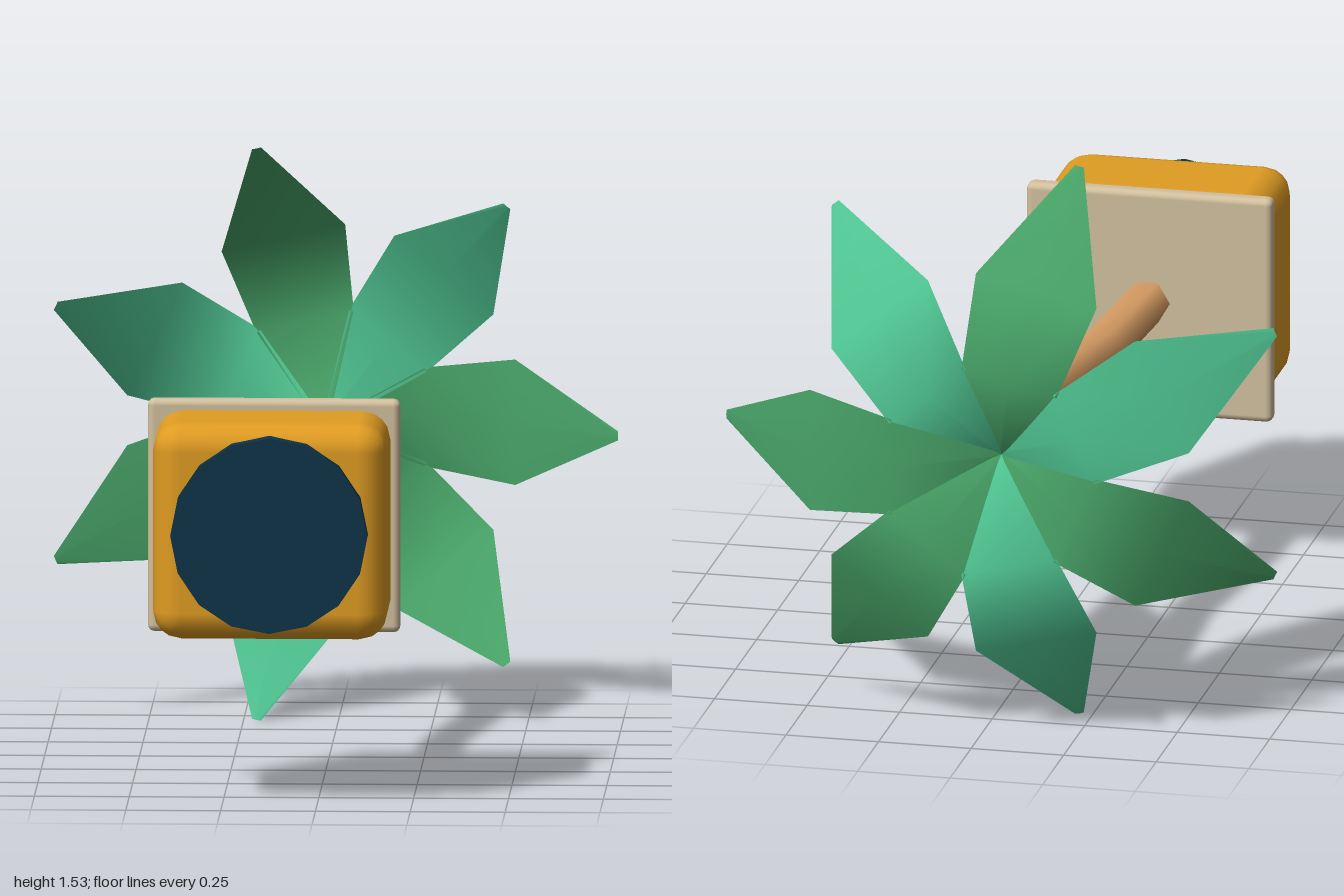
import * as THREE from 'three';
import { mergeGeometries } from 'three/addons/utils/BufferGeometryUtils.js';
import { RoundedBoxGeometry } from 'three/addons/geometries/RoundedBoxGeometry.js';

const mat = (name, color) => {
  const m = new THREE.MeshStandardMaterial({ color });
  m.name = name;
  return m;
};

// Smooth surface through a list of equal-length point rows
function loft(rows, closed) {
  const n = rows[0].length, index = [];
  for (let i = 0; i < rows.length - 1; i++) {
    for (let j = 0; j < (closed ? n : n - 1); j++) {
      const k = (j + 1) % n, a = i * n + j, b = i * n + k, c = a + n, d = b + n;
      index.push(a, c, b, b, c, d);
    }
  }
  const g = new THREE.BufferGeometry();
  g.setAttribute('position', new THREE.Float32BufferAttribute(rows.flat(2), 3));
  g.setIndex(index);
  g.computeVertexNormals();
  return g;
}

// Frond arching out of the crown along +x: [reach, z, half width, half thickness]
function frondGeometry() {
  const sections = [
    [0, -0.82, 0.008, 0.004],
    [0.26, -0.99, 0.132, 0.01],
    [0.5, -0.9, 0.167, 0.008],
    [0.78, -0.66, 0.012, 0.004],
  ];
  const sheet = (s) => loft(sections.map(([r, z, w, h]) =>
    [[r, -s * w, z], [r, 0, z + s * h], [r, s * w, z]]), false);
  return mergeGeometries([sheet(1), sheet(-1)]);
}

export function createModel() {
  const group = new THREE.Group();
  group.name = 'pottedPalm';
  const pot = mat('ochre', 0xe09c22);
  const rim = mat('sand', 0xd2c09e);
  const base = mat('darkBlue', 0x0e3447);
  const bark = mat('bark', 0xdca066);
  const greens = [mat('leafGreen', 0x48a468), mat('mintGreen', 0x50c693)];

  const add = (name, geometry, material, x = 0, y = 0, z = 0) => {
    const mesh = new THREE.Mesh(geometry, material);
    mesh.name = name;
    mesh.position.set(x, y, z);
    group.add(mesh);
    return mesh;
  };

  // Pot lying on its side, base towards the front
  add('pot', new RoundedBoxGeometry(0.618, 0.578, 0.355, 2, 0.075), pot, -0.123, 0.728, 0.785);
  add('potRim', new RoundedBoxGeometry(0.665, 0.62, 0.05, 2, 0.018), rim, -0.123, 0.727, 0.595);
  add('potBase', new THREE.CylinderGeometry(0.26, 0.26, 0.12, 16).rotateX(Math.PI / 2),
    base, -0.123, 0.728, 0.94);

  // Six-sided bent trunk
  const path = [[-0.12, 0.73, 0.6], [-0.09, 0.73, 0.16], [-0.015, 0.75, -0.33], [-0.035, 0.76, -0.81]];
  const rings = path.map(([x, y, z]) => Array.from({ length: 6 }, (_, i) => {
    const a = (i * Math.PI) / 3;
    return [x + 0.062 * Math.cos(a), y + 0.062 * Math.sin(a), z];
  }));
  add('trunk', loft(rings, true), bark);
  add('trunkTip', new THREE.CircleGeometry(0.062, 6).rotateY(Math.PI), bark, -0.035, 0.76, -0.81);

  // Seven fronds in alternating greens
  const frond = frondGeometry();
  for (let i = 0; i < 7; i++) {
    const leaf = add('frond' + (i + 1), frond, greens[i % 2], -0.042, 0.76, 0);
    leaf.rotation.z = (i * 2 * Math.PI) / 7;
  }
  return group;
}
